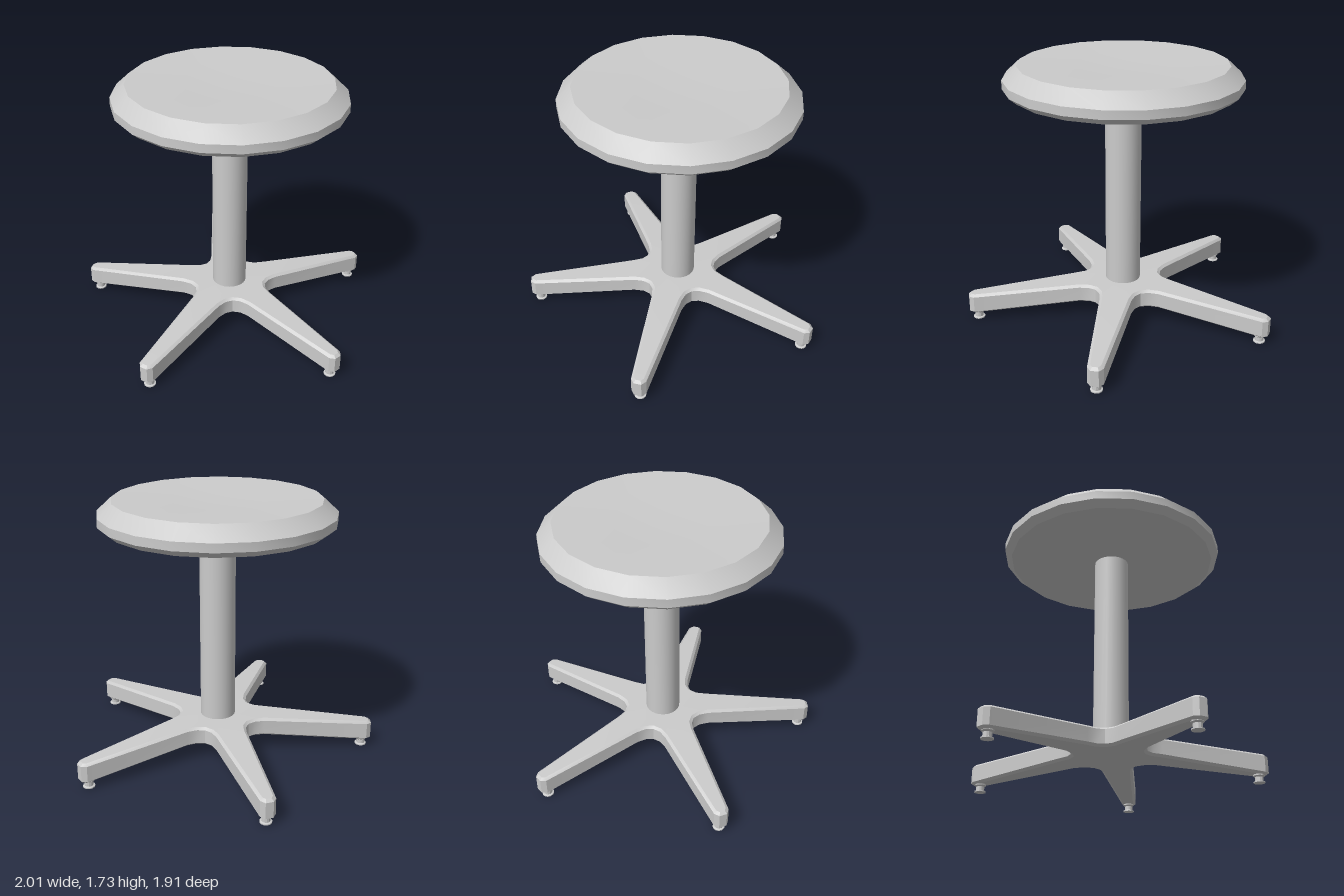
import * as THREE from 'three';
import { toCreasedNormals } from 'three/addons/utils/BufferGeometryUtils.js';

const material = new THREE.MeshStandardMaterial({ color: 0xcccccc });
const LEGS = 5;
const STEP = (Math.PI * 2) / LEGS;

function addMesh(parent, name, geometry) {
  const mesh = new THREE.Mesh(geometry, material);
  mesh.name = name;
  parent.add(mesh);
  return mesh;
}

function lathe(profile, sides) {
  const points = profile.map(([r, y]) => new THREE.Vector2(r, y));
  return toCreasedNormals(new THREE.LatheGeometry(points, sides), 0.5);
}

// Turn a point given as (sideways, along the leg) to leg number i, as (x, z)
function onLeg(i, [side, along]) {
  const s = Math.sin(i * STEP), c = Math.cos(i * STEP);
  return new THREE.Vector2(along * s + side * c, along * c - side * s);
}

// Star outline: six points per leg, then a rounded inner corner to the next leg
function starOutline() {
  const half = [[0.105, 0.315], [0.05, 1.02], [0.025, 1.05]];
  const leg = [...half.map(([w, r]) => [-w, r]), ...half.slice().reverse()];
  const outline = [];
  for (let i = 0; i < LEGS; i++) {
    outline.push(...leg.map((p) => onLeg(i, p)));
    const corner = new THREE.Vector2(Math.sin((i + 0.5) * STEP), Math.cos((i + 0.5) * STEP)).multiplyScalar(0.2);
    const curve = new THREE.QuadraticBezierCurve(onLeg(i, leg[5]), corner, onLeg(i + 1, leg[0]));
    outline.push(...curve.getPoints(4).slice(1, -1));
  }
  return outline;
}

// Move every outline point inwards by d along its mitre
function inset(outline, d) {
  const n = outline.length;
  const normal = (a, b) => new THREE.Vector2(-(b.y - a.y), b.x - a.x).normalize();
  return outline.map((p, i) => {
    const n1 = normal(outline[(i + n - 1) % n], p);
    const n2 = normal(p, outline[(i + 1) % n]);
    // choose the side that lies to the inside of the outline
    const m = n1.clone().add(n2).multiplyScalar(d / (1 + n1.dot(n2)));
    return p.clone().sub(m.multiplyScalar(-INWARD));
  });
}
const INWARD = -1; // the outline runs clockwise in (x, z)

function baseGeometry() {
  const outer = starOutline();
  const inner = inset(outer, 0.018);
  const n = outer.length, per = n / LEGS;

  // Flat hub, then legs that slope down towards their tips
  const slope = (p) => {
    let along = 0;
    for (let i = 0; i < LEGS; i++) along = Math.max(along, p.dot(onLeg(i, [0, 1])));
    return Math.max(0, (along - 0.315) / 0.735);
  };
  const top = (p) => 0.235 - 0.05 * slope(p);
  const bottom = (p) => 0.11 - 0.063 * slope(p);
  const ring = (pts, y) => pts.map((p) => [p.x, y(p), p.y]);
  const rings = [
    ring(inner, bottom),
    ring(outer, (p) => bottom(p) + 0.015),
    ring(outer, (p) => top(p) - 0.015),
    ring(inner, top),
  ];

  const pos = [];
  const tri = (a, b, c) => pos.push(...a, ...b, ...c);
  const quad = (a, b, c, d) => { tri(a, b, c); tri(a, c, d); };

  // Side walls and chamfers
  for (let k = 0; k < 3; k++)
    for (let i = 0; i < n; i++) {
      const j = (i + 1) % n;
      quad(rings[k][i], rings[k][j], rings[k + 1][j], rings[k + 1][i]);
    }

  // Upper and lower faces: hub fan plus leg panels
  for (const [r, y, flip] of [[rings[3], 0.235, false], [rings[0], 0.11, true]]) {
    const face = (a, b, c) => (flip ? tri(a, c, b) : tri(a, b, c));
    for (let i = 0; i < LEGS; i++) {
      const at = (k) => r[(i * per + k) % n];
      const hub = [0, 5, 6, 7, 8, 9];
      for (let k = 0; k < 5; k++) face([0, y, 0], at(hub[k]), at(hub[k + 1]));
      for (const [a, b, c, d] of [[0, 1, 4, 5], [1, 2, 3, 4]]) {
        face(at(a), at(b), at(c));
        face(at(a), at(c), at(d));
      }
    }
  }
  const geometry = new THREE.BufferGeometry();
  geometry.setAttribute('position', new THREE.Float32BufferAttribute(pos, 3));
  return toCreasedNormals(geometry, 0.45);
}

export function createModel() {
  const model = new THREE.Group();
  model.name = 'stool';
  model.position.z = -0.1;

  // Round cushion with a bevelled rim and a shallow dish on top
  addMesh(model, 'seat', lathe([
    [0, 1.545], [0.71, 1.545], [0.758, 1.585], [0.758, 1.64],
    [0.665, 1.725], [0.3, 1.715], [0, 1.7],
  ], 20));

  const column = addMesh(model, 'column', new THREE.CylinderGeometry(0.117, 0.117, 1.33, 24, 1, true));
  column.position.y = 0.885;

  addMesh(model, 'starBase', baseGeometry());

  // Spool-shaped glide under each leg tip
  const glide = lathe([
    [0, 0], [0.039, 0], [0.039, 0.007], [0.028, 0.011],
    [0.028, 0.038], [0.038, 0.046], [0.038, 0.055], [0, 0.055],
  ], 12);
  for (let i = 0; i < LEGS; i++) {
    const p = onLeg(i, [0, 0.99]);
    addMesh(model, 'footGlide', glide).position.set(p.x, 0, p.y);
  }

  const root = new THREE.Group();
  root.add(model);
  return root;
}
